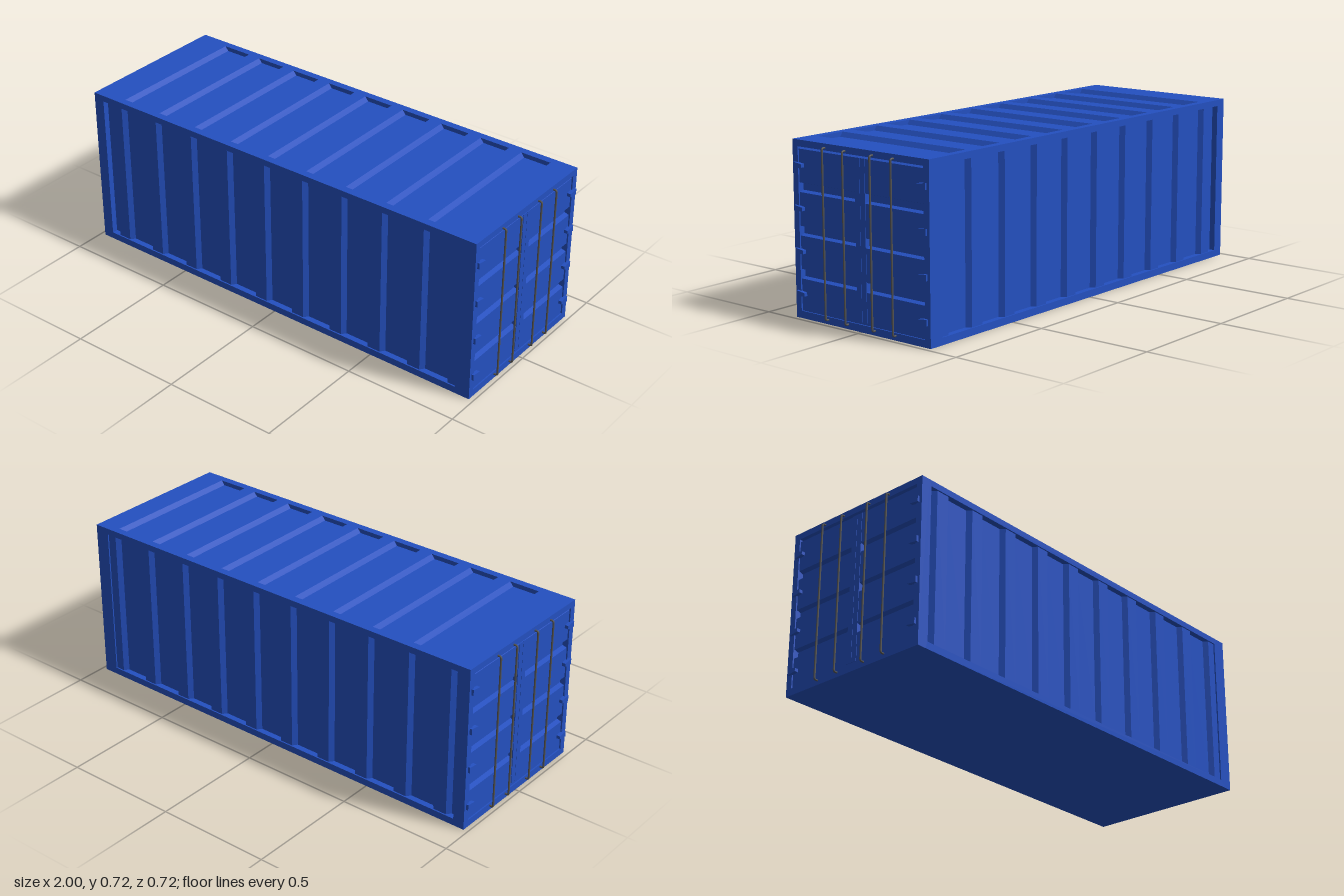
import * as THREE from 'three';

const blue = new THREE.MeshStandardMaterial({ color: 0x2450c0, flatShading: true });
const steel = new THREE.MeshStandardMaterial({ color: 0x555555 });

const H = 0.717, Z = 0.358, X = 0.98; // height, half width, half length
const PITCH = 0.196, FIRST = -0.83;   // wall and roof corrugation
const LEFT = -0.93, RIGHT = 0.915;    // corrugated span along x
const LOW = 0.03, HIGH = 0.69;        // opening heights

function add(parent, name, geometry, material = blue) {
  const mesh = new THREE.Mesh(geometry, material);
  mesh.name = name;
  parent.add(mesh);
  return mesh;
}

const polygon = (points) => new THREE.Shape(points.map(([x, y]) => new THREE.Vector2(x, y)));
const rect = (x0, y0, x1, y1) => [[x0, y0], [x1, y0], [x1, y1], [x0, y1]];
const extrude = (shape, depth) => new THREE.ExtrudeGeometry(shape, { depth, bevelEnabled: false });

// Flat slab with one rectangular opening
function frame(outer, hole, depth) {
  const shape = polygon(outer);
  shape.holes.push(new THREE.Path(hole.map(([x, y]) => new THREE.Vector2(x, y)).reverse()));
  return extrude(shape, depth);
}

// Trapezoid corrugation along x, closed by a straight back
function corrugation(top, bottom, back, startsLow) {
  const points = [[LEFT, back]];
  if (startsLow) points.push([LEFT, bottom], [-0.905, bottom], [-0.89, top]);
  else points.push([LEFT, top]);
  for (let i = 0; i < 9; i++) {
    const x = FIRST + i * PITCH;
    points.push([x, top], [x + 0.015, bottom], [x + 0.122, bottom], [x + 0.137, top]);
  }
  points.push([RIGHT, top], [RIGHT, back]);
  return polygon(points);
}

// One door end, facing +x
function doorEnd(name) {
  const end = new THREE.Group();
  end.name = name;

  const surround = frame(rect(-Z, 0, Z, H), rect(-0.33, LOW, 0.33, HIGH), 0.04);
  surround.rotateY(Math.PI / 2).translate(0.94, 0, 0);
  add(end, 'endFrame', surround);

  // Door sheet with horizontal grooves
  const outer = 0.974, inner = 0.954, back = 0.944;
  const profile = [[back, LOW], [outer, LOW]];
  for (let i = 0; i < 3; i++) {
    const y = 0.16 + i * 0.174;
    profile.push([outer, y], [inner, y + 0.006], [inner, y + 0.033], [outer, y + 0.039]);
  }
  profile.push([outer, 0.68], [inner, HIGH], [back, HIGH]);
  add(end, 'doorSheet', extrude(polygon(profile), 0.66).translate(0, 0, -0.33));

  for (const s of [-1, 1]) {
    // Meeting strip of each door leaf
    add(end, 'doorStrip', new THREE.BoxGeometry(0.03, 0.642, 0.025))
      .position.set(0.961, 0.36, s * 0.0132);

    // Hinges, wider toward the frame
    for (let i = 0; i < 4; i++) {
      const y = 0.1 + i * 0.172;
      const hinge = polygon([
        [s * 0.303, y - 0.007], [s * 0.346, y - 0.013],
        [s * 0.346, y + 0.013], [s * 0.303, y + 0.007],
      ]);
      const geometry = extrude(hinge, 0.02).rotateY(Math.PI / 2).translate(0.97, 0, 0);
      add(end, 'hinge', geometry);
    }

    // Locking rods, bent into the frame at both ends
    for (const z of [0.072, 0.18]) {
      const path = new THREE.CurvePath();
      const p = (x, y) => new THREE.Vector3(x, y, s * z);
      const rod = 0.9955, y0 = 0.019, y1 = 0.7, r = 0.008;
      path.add(new THREE.LineCurve3(p(0.97, y0), p(rod - r, y0)));
      path.add(new THREE.QuadraticBezierCurve3(p(rod - r, y0), p(rod, y0), p(rod, y0 + r)));
      path.add(new THREE.LineCurve3(p(rod, y0 + r), p(rod, y1 - r)));
      path.add(new THREE.QuadraticBezierCurve3(p(rod, y1 - r), p(rod, y1), p(rod - r, y1)));
      path.add(new THREE.LineCurve3(p(rod - r, y1), p(0.97, y1)));
      add(end, 'lockingRod', new THREE.TubeGeometry(path, 240, 0.0042, 8), steel);
    }
  }
  return end;
}

export function createModel() {
  const model = new THREE.Group();
  model.name = 'cargoContainer';

  // Floor
  add(model, 'floor', new THREE.BoxGeometry(1.88, 0.03, 0.656)).position.y = 0.015;

  // Long sides: frame and corrugated wall
  for (const s of [-1, 1]) {
    const side = frame(rect(-0.94, 0, 0.94, H), rect(LEFT, LOW, RIGHT, HIGH), 0.03);
    add(model, 'sideFrame', side).position.z = s > 0 ? 0.328 : -Z;

    const wall = extrude(corrugation(0.352, 0.332, 0.329, true), HIGH - LOW);
    wall.rotateX(s * Math.PI / 2).translate(0, s > 0 ? HIGH : LOW, 0);
    add(model, 'sideWall', wall);
  }

  // Roof: rim and corrugated sheet
  const rim = frame(rect(-0.94, -0.328, 0.94, 0.328), rect(LEFT, -0.325, RIGHT, 0.325), 0.027);
  add(model, 'roofFrame', rim.rotateX(-Math.PI / 2).translate(0, 0.69, 0));
  const roof = extrude(corrugation(H, 0.698, 0.69, false), 0.65);
  add(model, 'roofSheet', roof.translate(0, 0, -0.325));

  // Doors at both ends
  model.add(doorEnd('leftEnd'));
  const opposite = doorEnd('rightEnd');
  opposite.rotation.y = Math.PI;
  model.add(opposite);

  return model;
}
